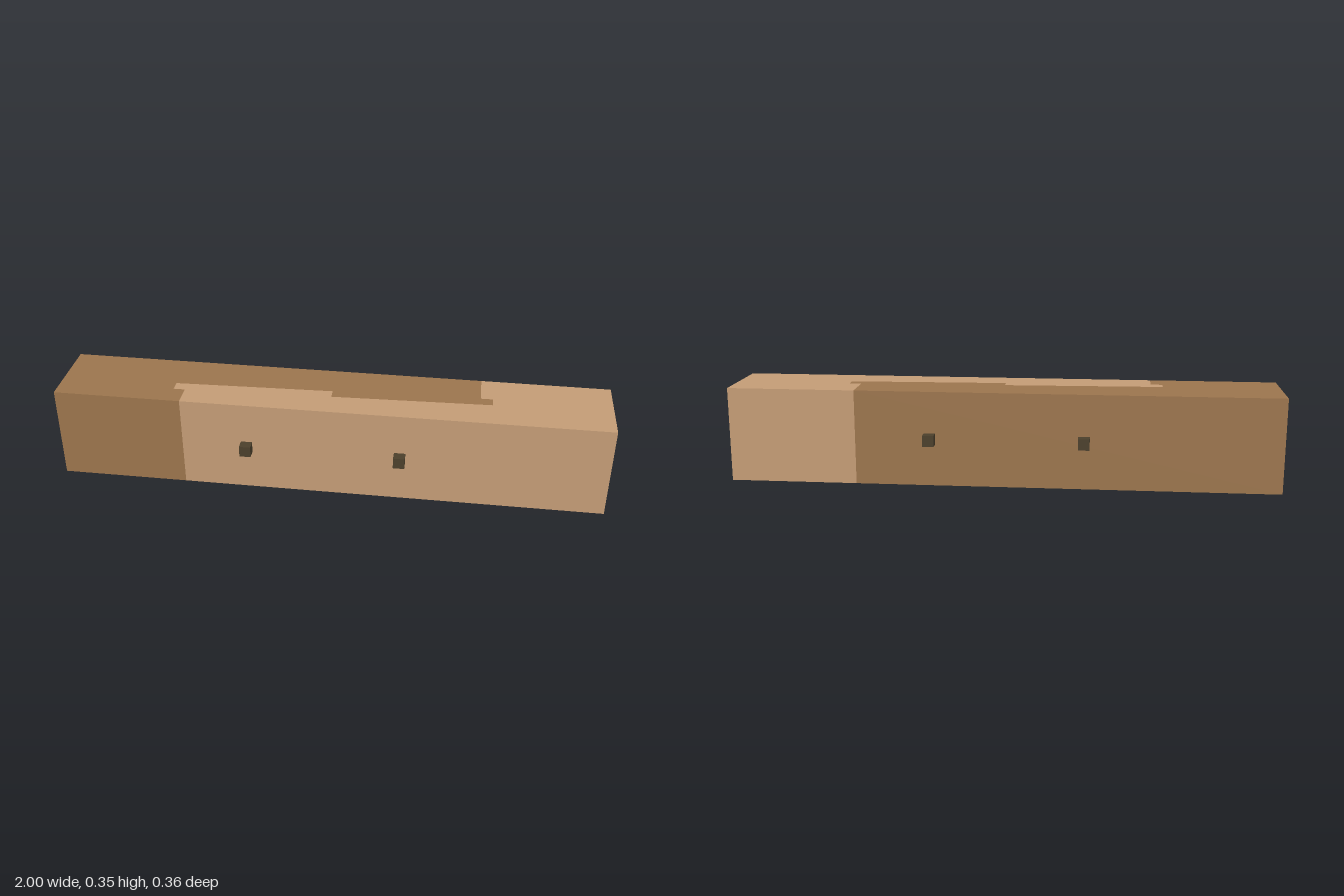
import * as THREE from 'three';

const HEIGHT = 0.347, HALF_DEPTH = 0.145;

// Extrudes a plan outline of [x, z] points upward from y = 0.
function beam(name, plan, material) {
  const shape = new THREE.Shape(plan.map(([x, z]) => new THREE.Vector2(x, -z)));
  const geometry = new THREE.ExtrudeGeometry(shape, { depth: HEIGHT, bevelEnabled: false });
  geometry.rotateX(-Math.PI / 2);
  const mesh = new THREE.Mesh(geometry, material);
  mesh.name = name;
  return mesh;
}

export function createModel() {
  const darkWood = new THREE.MeshStandardMaterial({ name: 'dark wood', color: 0x9d764e });
  const lightWood = new THREE.MeshStandardMaterial({ name: 'light wood', color: 0xc69e77 });
  const pegWood = new THREE.MeshStandardMaterial({ name: 'peg wood', color: 0x4c402c });

  const model = new THREE.Group();
  model.name = 'scarfJoint';

  // Hooked scarf seam shared by both beams, from the back edge to the front edge
  const seam = [
    [0.533, -HALF_DEPTH], [0.533, -0.018], [0.577, -0.018], [0.577, 0.022],
    [0, 0.041], [0, 0.002],
    [-0.577, 0.021], [-0.577, 0.062], [-0.535, 0.062], [-0.535, HALF_DEPTH],
  ];
  model.add(beam('rightBeam', [[-1, HALF_DEPTH], [-1, -HALF_DEPTH], ...seam], darkWood));
  model.add(beam('leftBeam', [[1, HALF_DEPTH], [1, -HALF_DEPTH], ...seam], lightWood));

  // Square pegs driven through the joint
  for (const x of [-0.296, 0.26]) {
    const peg = new THREE.Mesh(new THREE.BoxGeometry(0.041, 0.041, 0.363), pegWood);
    peg.name = 'peg';
    peg.position.set(x, 0.174, 0);
    model.add(peg);
  }
  return model;
}
